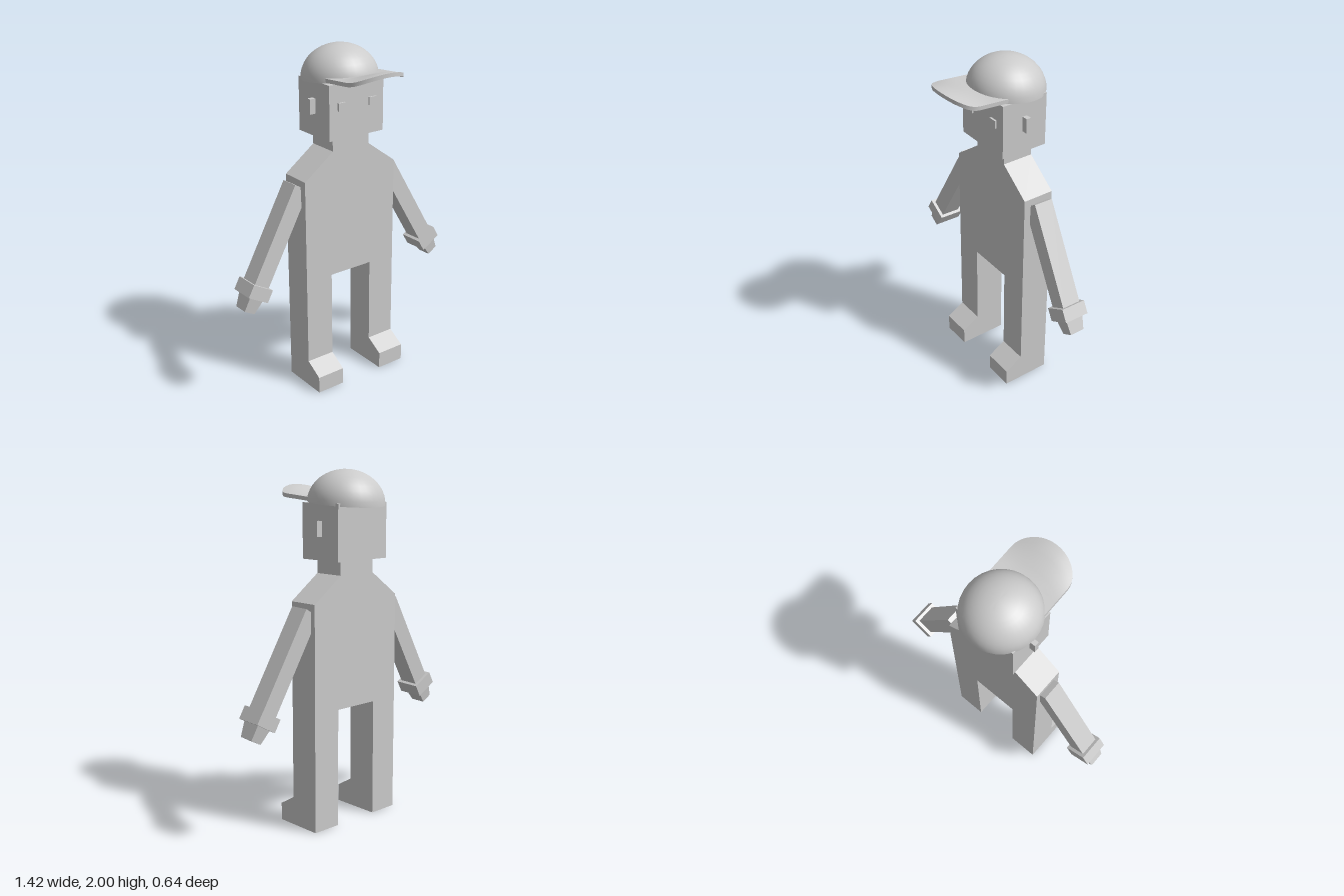
import * as THREE from 'three';
import { toCreasedNormals } from 'three/addons/utils/BufferGeometryUtils.js';

const mat = new THREE.MeshStandardMaterial({ color: 0xcccccc, flatShading: true });
const smooth = new THREE.MeshStandardMaterial({ color: 0xcccccc });

function part(parent, name, geometry, x = 0, y = 0, z = 0, material = mat) {
  const mesh = new THREE.Mesh(geometry, material);
  mesh.name = name;
  mesh.position.set(x, y, z);
  parent.add(mesh);
  return mesh;
}

const box = (w, h, d) => new THREE.BoxGeometry(w, h, d);

function extrude(points, depth) {
  const shape = new THREE.Shape(points.map(([x, y]) => new THREE.Vector2(x, y)));
  return new THREE.ExtrudeGeometry(shape, { depth, bevelEnabled: false });
}

// Four-sided block that narrows downwards
function taperedBlock(w1, d1, w2, d2, h) {
  const g = box(1, h, 1);
  const p = g.attributes.position;
  for (let i = 0; i < p.count; i++) {
    const top = p.getY(i) > 0;
    p.setX(i, p.getX(i) * (top ? w1 : w2));
    p.setZ(i, p.getZ(i) * (top ? d1 : d2));
  }
  g.computeVertexNormals();
  return g;
}

// Rounded brim, arched across its width and curving up towards the tip
function brimGeometry() {
  const g = new THREE.BoxGeometry(2, 1, 1, 20, 1, 8);
  const p = g.attributes.position;
  const halfWidth = 0.18;
  for (let i = 0; i < p.count; i++) {
    const s = Math.sin(p.getX(i) * Math.PI / 2);
    const c = Math.sqrt(Math.max(0, 1 - s * s));
    const z = (p.getZ(i) + 0.5) * (0.19 + 0.13 * c);
    const lift = 0.037 * THREE.MathUtils.clamp((z - 0.11) / 0.165, 0, 1);
    const y = 1.827 + 0.08 * z + c * c * lift + (p.getY(i) + 0.5) * 0.022;
    p.setXYZ(i, s * halfWidth, y, z);
  }
  return toCreasedNormals(g, 0.6);
}

// Half-ellipsoid crown with a closed underside
function crownGeometry() {
  const profile = [new THREE.Vector2(0, 0)];
  for (let i = 0; i <= 10; i++) {
    const a = (i / 10) * Math.PI / 2;
    profile.push(new THREE.Vector2(i === 10 ? 0 : 0.216 * Math.cos(a), 0.185 * Math.sin(a)));
  }
  return toCreasedNormals(new THREE.LatheGeometry(profile, 32), 0.7);
}

export function createModel() {
  const model = new THREE.Group();
  model.name = 'figure';

  // Torso, neck and legs share one flat outline
  const half = [[0.14, 0.68], [0.14, 0], [0.315, 0], [0.315, 1.29], [0.125, 1.43], [0.125, 1.52]];
  const outline = [...half, ...half.map(([x, y]) => [-x, y]).reverse()];
  part(model, 'body', extrude(outline, 0.185), 0, 0, -0.185);

  // Head
  part(model, 'head', box(0.37, 0.31, 0.283), 0, 1.665, -0.0885);

  // Cap
  const cap = new THREE.Group();
  cap.name = 'cap';
  model.add(cap);
  const crown = part(cap, 'capCrown', crownGeometry(), 0, 1.815, -0.1, smooth);
  crown.rotation.x = -0.085;
  part(cap, 'capBrim', brimGeometry(), 0, 0, 0, smooth);

  for (const s of [1, -1]) {
    const side = s > 0 ? 'left' : 'right';

    // Eye and ear
    part(model, side + 'Eye', box(0.048, 0.046, 0.03), s * 0.105, 1.694, 0.049);
    part(model, side + 'Ear', box(0.05, 0.085, 0.028), s * 0.195, 1.682, -0.088);

    // Foot wedge in front of the leg
    const foot = extrude([[-0.02, 0], [0.105, 0], [0.105, 0.1], [0, 0.163], [-0.02, 0.163]], 0.175);
    foot.rotateY(-Math.PI / 2);
    part(model, side + 'Foot', foot, s * 0.2275 + 0.0875, 0, 0);

    // Arm hanging outwards from the shoulder
    const arm = new THREE.Group();
    arm.name = side + 'Arm';
    arm.position.set(s * 0.3065, 1.245, -0.1);
    arm.rotation.set(-0.03, 0, s * 0.52);
    model.add(arm);
    part(arm, side + 'Sleeve', box(0.1, 0.62, 0.115), 0, -0.31, 0);
    part(arm, side + 'Cuff', box(0.137, 0.077, 0.153), 0, -0.629, 0);
    part(arm, side + 'Hand', taperedBlock(0.095, 0.118, 0.07, 0.09, 0.1), 0, -0.703, 0);
  }
  return model;
}
